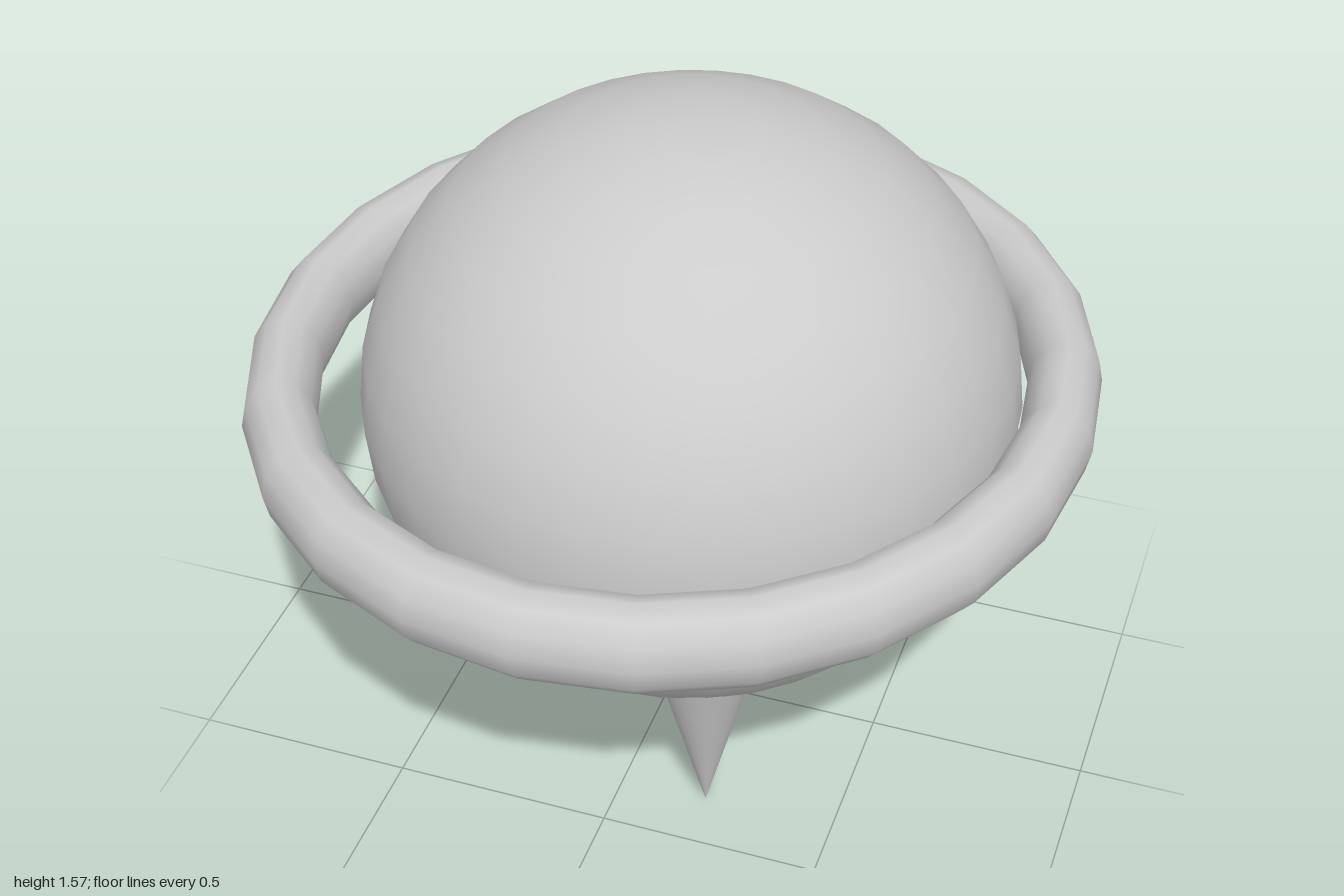
import * as THREE from 'three';

export function createModel() {
  const model = new THREE.Group();
  const grey = new THREE.MeshStandardMaterial({ color: 0xcccccc });

  function add(name, geometry, x, y, z) {
    const mesh = new THREE.Mesh(geometry, grey);
    mesh.name = name;
    mesh.position.set(x, y, z);
    model.add(mesh);
    return mesh;
  }

  // Slightly flattened ball, a little off centre inside the ring
  add('body', new THREE.SphereGeometry(1, 32, 16), 0.04, 0.902, 0).scale.set(0.73, 0.668, 0.735);

  // Oval ring around the middle
  const ring = new THREE.TorusGeometry(0.914, 0.086, 12, 24);
  ring.rotateX(Math.PI / 2);
  add('ring', ring, 0, 0.93, 0).scale.set(0.938, 0.105 / 0.086, 1);

  // Two pointed feet, one behind the other, sunk into the ball
  const height = 0.46;
  const spike = new THREE.ConeGeometry(1, 1, 32);
  spike.rotateX(Math.PI);
  for (const [name, z] of [['frontSpike', 0.365], ['backSpike', -0.21]]) {
    add(name, spike, 0.2, height / 2, z).scale.set(0.25 * height, height, 0.31 * height);
  }

  return model;
}
